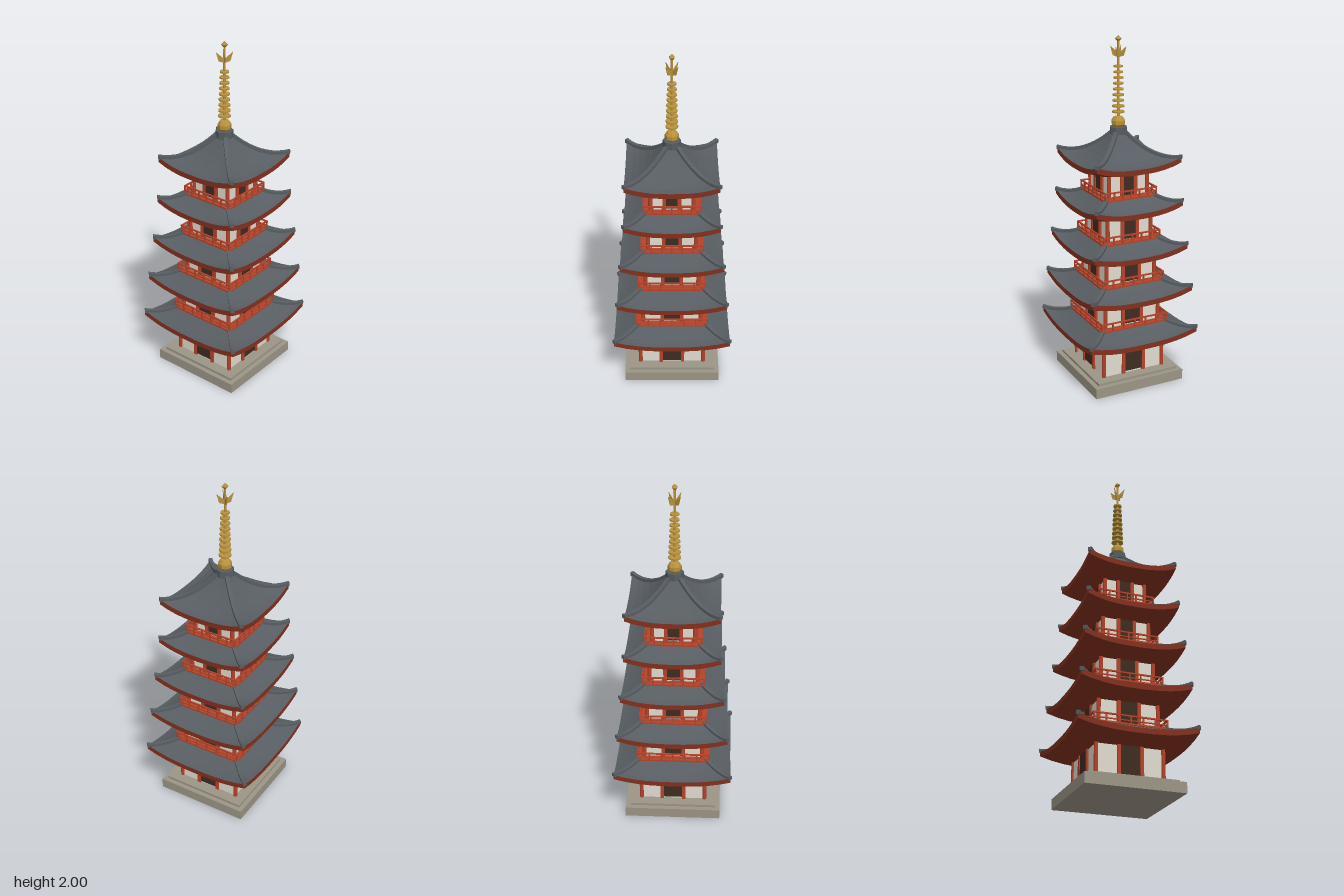
import * as THREE from 'three';
import { mergeGeometries } from 'three/addons/utils/BufferGeometryUtils.js';

const mat = (name, color, extra = {}) => {
  const m = new THREE.MeshStandardMaterial({ color, ...extra });
  m.name = name;
  return m;
};

// Flat-shaded grid surface from a rule f(u, v) -> [x, y, z], u and v in 0..1
function surface(f, nu, nv) {
  const pos = [];
  for (let i = 0; i < nu; i++) {
    for (let j = 0; j < nv; j++) {
      const a = f(i / nu, j / nv), b = f((i + 1) / nu, j / nv);
      const c = f((i + 1) / nu, (j + 1) / nv), d = f(i / nu, (j + 1) / nv);
      pos.push(...a, ...b, ...c, ...a, ...c, ...d);
    }
  }
  const g = new THREE.BufferGeometry();
  g.setAttribute('position', new THREE.Float32BufferAttribute(pos, 3));
  g.computeVertexNormals();
  return g;
}

// Repeat front-side geometries around the four sides
function fourSides(geos) {
  const all = [];
  for (let k = 0; k < 4; k++) {
    for (const g of geos) all.push(g.clone().rotateY(k * Math.PI / 2));
  }
  return mergeGeometries(all);
}

const box = (w, h, d, x, y, z) => new THREE.BoxGeometry(w, h, d).translate(x, y, z);
const lerp = THREE.MathUtils.lerp;

export function createModel() {
  const root = new THREE.Group();
  root.name = 'pagoda';
  const stone = mat('stone', 0x9c9586);
  const plaster = mat('plaster', 0xe2dccf);
  const red = mat('red timber', 0xb5432a);
  const eaveRed = mat('dark red eaves', 0x82301f);
  const wood = mat('dark door wood', 0x3e2c21);
  const tile = mat('grey roof tile', 0x575d62, { flatShading: true });
  const gold = mat('gold', 0xb8923f, { flatShading: true });

  const add = (parent, name, geo, material) => {
    const m = new THREE.Mesh(geo, material);
    m.name = name;
    parent.add(m);
  };

  // Stepped stone base
  add(root, 'basePlinth', box(0.56, 0.06, 0.56, 0, 0.03, 0), stone);
  add(root, 'baseStep', box(0.505, 0.016, 0.505, 0, 0.067, 0), stone);

  // Walls, columns, doors of one storey
  function storey(half, y0, y1) {
    const g = new THREE.Group();
    g.name = 'storey';
    const h = y1 - y0, mid = (y0 + y1) / 2, wall = half - 0.011, post = half * 0.32;
    add(g, 'walls', box(wall * 2, h, wall * 2, 0, mid, 0), plaster);
    add(g, 'doors', fourSides([box(post * 2, h - 0.012, 0.006, 0, mid + 0.006, wall + 0.003)]), wood);
    const posts = [-1, 1].map(s => box(0.02, h, 0.018, s * post, mid, wall + 0.002));
    add(g, 'doorPosts', fourSides(posts), red);
    const column = new THREE.CylinderGeometry(0.012, 0.012, h, 8).translate(half - 0.012, mid, half - 0.012);
    add(g, 'cornerColumns', fourSides([column]), red);
    root.add(g);
  }

  // Balcony floor and railing
  function balcony(half, y) {
    const g = new THREE.Group();
    g.name = 'balcony';
    add(g, 'balconyFloor', box(half * 2, 0.01, half * 2, 0, y, 0), red);
    const z = half - 0.004, parts = [];
    for (const [dy, t] of [[0.046, 0.008], [0.02, 0.006]]) {
      parts.push(box(half * 2, t, t, 0, y + dy, z));
    }
    for (let i = 0; i < 6; i++) {
      parts.push(box(0.008, 0.046, 0.008, lerp(-z, z, i / 6), y + 0.023, z));
    }
    add(g, 'railing', fourSides(parts), red);
    root.add(g);
  }

  // Curved hip roof with upturned corners
  function roof(eave, inner, body, base, top, power) {
    const g = new THREE.Group();
    g.name = 'roof';
    const low = base + 0.027, edge = base + 0.057;
    const lift = u => 0.04 * Math.pow(Math.abs(u), 2.6);
    const height = (u, t) => lerp(edge, top, Math.pow(t, power)) + lift(u) * (1 - t) ** 2;

    const tiles = surface((a, t) => {
      const u = a * 2 - 1, r = lerp(eave, inner, t);
      return [u * r, height(u, t), r];
    }, 10, 6);
    add(g, 'roofTiles', fourSides([tiles]), tile);

    const fascia = surface((a, v) => {
      const u = a * 2 - 1;
      return [u * eave, lerp(low, edge, v) + lift(u), eave];
    }, 10, 1);
    const soffit = surface((a, v) => {
      const u = a * 2 - 1, r = lerp(body - 0.015, eave, v);
      return [u * r, lerp(base, low, v) + lift(u) * v * v, r];
    }, 10, 4);
    add(g, 'eaves', fourSides([fascia, soffit]), eaveRed);

    // Hip ridge beams: a square section swept down each corner, closed at the eave
    const w = 0.008;
    const section = [[-w, -0.01], [w, -0.01], [w, 0.012], [-w, 0.012], [-w, -0.01]];
    const ridgePoint = (corner, t) => {
      const [s, dy] = section[corner];
      const r = lerp(eave + 0.001, inner, t);
      return [r + s, height(1, t) + dy, r - s];
    };
    const ridge = surface((a, v) => ridgePoint(Math.round(a * 4), 1 - v), 4, 10);
    const cap = surface((a, v) => ridgePoint(v < 0.5 ? Math.round(a) : 3 - Math.round(a), 0), 1, 1);
    add(g, 'hipRidges', fourSides([ridge, cap]), tile);
    root.add(g);
  }

  // Five storeys: wall half-width, floor height, eave half-width, eave base, roof top
  const levels = [
    [0.2, 0.074, 0.337, 0.248, 0.367],
    [0.181, 0.365, 0.314, 0.5, 0.619],
    [0.164, 0.617, 0.291, 0.75, 0.869],
    [0.147, 0.867, 0.268, 1.001, 1.12],
    [0.131, 1.118, 0.259, 1.25, 1.462],
  ];
  levels.forEach(([half, floor, eave, base, top], i) => {
    const last = i === levels.length - 1;
    storey(half, floor, base + 0.02);
    const next = last ? 0.031 : levels[i + 1][0] + 0.012;
    roof(eave, next, half, base, top, last ? 1.9 : 1.4);
    if (!last) balcony(next + 0.019, top - 0.003);
  });

  // Finial: collar, bowl, ringed mast, diagonal fins and jewel
  const finial = new THREE.Group();
  finial.name = 'finial';
  add(finial, 'collar', new THREE.CylinderGeometry(0.05, 0.05, 0.04, 8).translate(0, 1.475, 0), tile);
  const bowl = [[0, 1.49], [0.028, 1.493], [0.039, 1.508], [0.039, 1.53], [0.026, 1.55], [0, 1.556]]
    .map(p => new THREE.Vector2(...p));
  add(finial, 'bowl', new THREE.LatheGeometry(bowl, 8), gold);
  add(finial, 'mast', new THREE.CylinderGeometry(0.006, 0.009, 0.44, 8).translate(0, 1.76, 0), gold);
  for (let i = 0; i < 9; i++) {
    const r = lerp(0.035, 0.025, i / 8);
    add(finial, 'ring', new THREE.CylinderGeometry(r, r, 0.009, 12).translate(0, lerp(1.578, 1.83, i / 8), 0), gold);
  }
  const fin = new THREE.Shape([[0, 1.878], [0.032, 1.889], [0.046, 1.94], [0.01, 1.908], [0, 1.91]]
    .map(p => new THREE.Vector2(...p)));
  const finGeo = new THREE.ExtrudeGeometry(fin, { depth: 0.004, bevelEnabled: false })
    .translate(0, 0, -0.002).rotateY(Math.PI / 4);
  add(finial, 'fins', fourSides([finGeo]), gold);
  const jewel = new THREE.OctahedronGeometry(0.02).rotateY(Math.PI / 4).translate(0, 1.98, 0);
  add(finial, 'jewel', jewel, gold);
  root.add(finial);
  return root;
}
